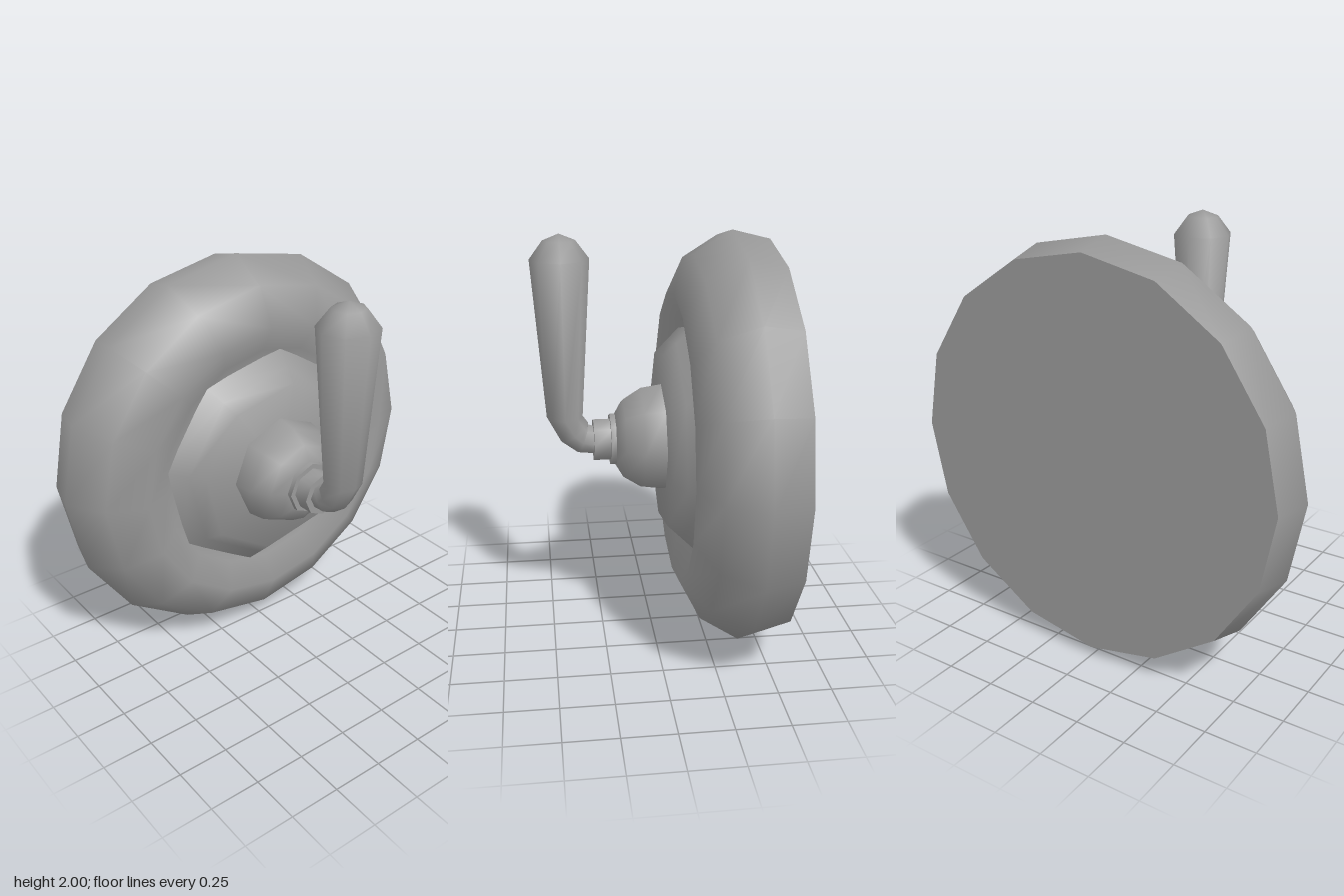
import * as THREE from 'three';
import { toCreasedNormals } from 'three/addons/utils/BufferGeometryUtils.js';

const metal = new THREE.MeshStandardMaterial({ color: 0x999999 });
metal.name = 'grey metal';

function part(name, geometry) {
  const mesh = new THREE.Mesh(toCreasedNormals(geometry, 1.05), metal);
  mesh.name = name;
  return mesh;
}

// Turned part on the x axis; profile is a list of [x, radius] from back to front
function turned(name, profile, sides, phase = 0) {
  const points = profile.map(([x, r]) => new THREE.Vector2(r, x));
  const geometry = new THREE.LatheGeometry(points, sides, phase);
  geometry.rotateZ(-Math.PI / 2).translate(0, 1, 0);
  return part(name, geometry);
}

// Tube through rings [x, y, radius, heading]; heading 0 runs along +x, PI/2 along +y
function sweptLever(rings, sides) {
  const positions = [];
  const index = [];
  for (const [x, y, r, a] of rings) {
    for (let i = 0; i < sides; i++) {
      const t = (i / sides) * Math.PI * 2;
      const u = r * Math.cos(t);
      positions.push(x - Math.sin(a) * u, y + Math.cos(a) * u, r * 1.06 * Math.sin(t));
    }
  }
  for (let j = 0; j < rings.length - 1; j++) {
    for (let i = 0; i < sides; i++) {
      const a = j * sides + i;
      const b = j * sides + (i + 1) % sides;
      index.push(a, b, b + sides, a, b + sides, a + sides);
    }
  }
  const geometry = new THREE.BufferGeometry();
  geometry.setAttribute('position', new THREE.Float32BufferAttribute(positions, 3));
  geometry.setIndex(index);
  geometry.computeVertexNormals();
  return geometry;
}

export function createModel() {
  const group = new THREE.Group();
  group.name = 'wallValve';

  // Round wall plate with a shallow groove in its face
  group.add(turned('wallPlate', [
    [-0.56, 0], [-0.56, 0.955], [-0.38, 1], [-0.2, 0.89],
    [-0.11, 0.71], [-0.18, 0.58], [-0.19, 0.5],
  ], 16));

  // Raised eight-sided centre, turned slightly
  group.add(turned('raisedCentre', [
    [-0.2, 0.59], [-0.11, 0.5], [-0.05, 0.44], [-0.05, 0],
  ], 8, -0.18));

  // Domed hub and its two collars
  group.add(turned('hub', [
    [-0.06, 0.27], [-0.05, 0.27], [0.05, 0.255], [0.135, 0.2], [0.175, 0.13], [0.175, 0],
  ], 8));
  group.add(turned('wideCollar', [[0.16, 0.13], [0.2, 0.13], [0.2, 0]], 8));
  group.add(turned('narrowCollar', [[0.19, 0.105], [0.28, 0.105], [0.28, 0]], 8));

  // Bent lever with a tapered grip and rounded tip
  const up = Math.PI / 2;
  group.add(part('lever', sweptLever([
    [0.27, 1, 0.07, 0],
    [0.33, 1.01, 0.075, 0.35],
    [0.37, 1.045, 0.08, 0.95],
    [0.415, 1.125, 0.086, up],
    [0.42, 1.88, 0.138, up],
    [0.42, 1.965, 0.075, up],
    [0.42, 1.995, 0, up],
  ], 8)));

  return group;
}
